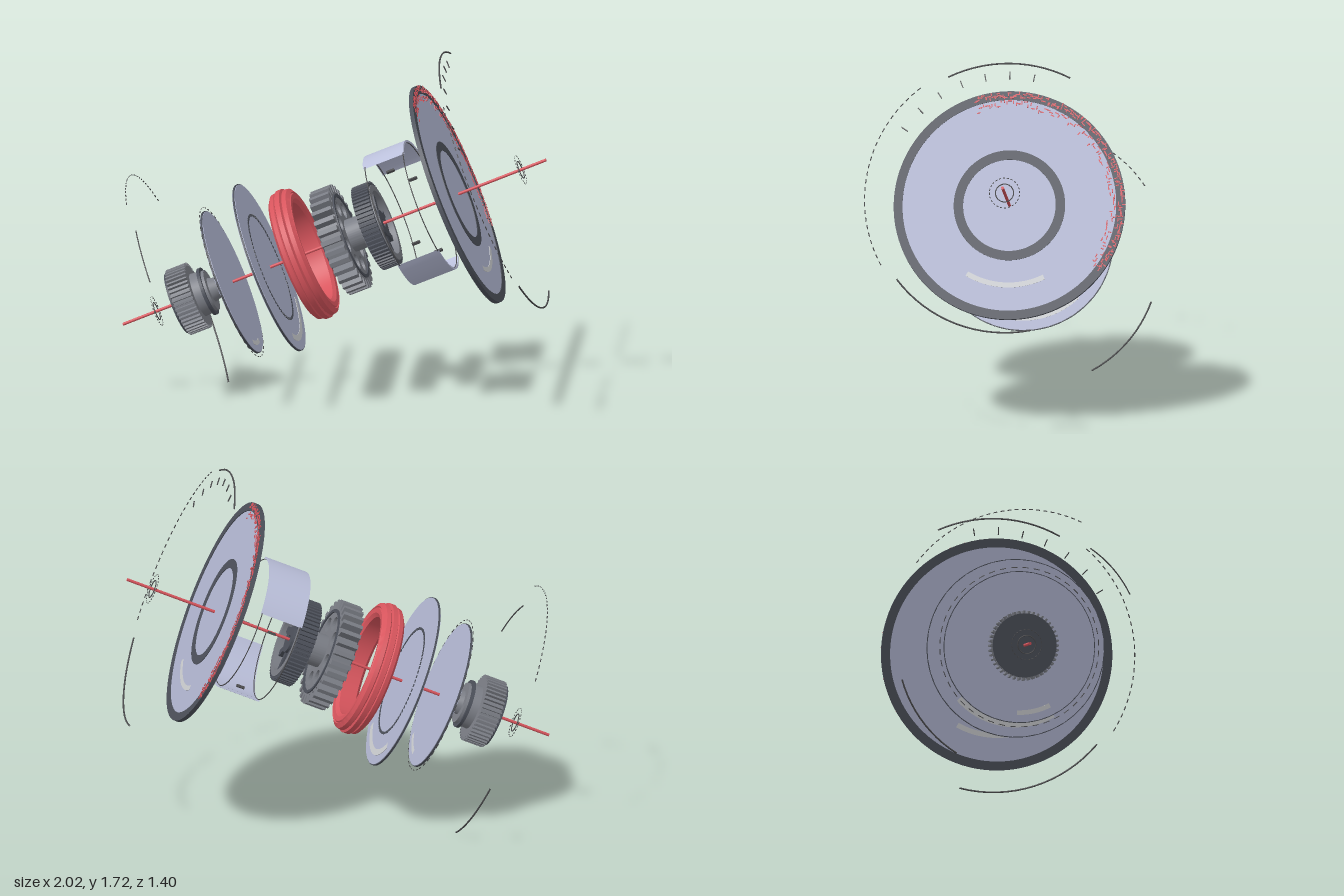
import * as THREE from 'three';
import { mergeGeometries, toCreasedNormals } from 'three/addons/utils/BufferGeometryUtils.js';

const mat = (name, color, side = THREE.FrontSide) => {
  const m = new THREE.MeshStandardMaterial({ color, side });
  m.name = name;
  return m;
};
const RAD = Math.PI / 180;

export function createModel() {
  const plate = mat('pale plate', 0xb2b7d2);
  const shellMat = mat('pale shell', 0xbcc1dc, THREE.DoubleSide);
  const dark = mat('dark metal', 0x4d515b);
  const grey = mat('gear grey', 0x7b7e86);
  const red = mat('red', 0xd8555d);
  const light = mat('slot grey', 0xcdcfd2);
  const line = mat('line grey', 0x4c4c4e);

  // Local frame: y runs along the tilted shaft, z is up, x points to the front
  const stack = new THREE.Group();
  stack.name = 'explodedStack';
  const axis = new THREE.Vector3(0.913, 0.393, 0.1).normalize();
  const up = new THREE.Vector3(0, 1, 0).addScaledVector(axis, -axis.y).normalize();
  const side = new THREE.Vector3().crossVectors(axis, up);
  stack.quaternion.setFromRotationMatrix(new THREE.Matrix4().makeBasis(side, axis, up));
  stack.position.set(0, 0.8, -0.05);

  // Place a geometry on the shaft at the point with the given world x
  const add = (name, geo, material, x) => {
    const m = new THREE.Mesh(geo, material);
    m.name = name;
    m.position.y = x / axis.x;
    stack.add(m);
    return m;
  };

  // Turned part from radius/height pairs
  const turned = (pts, seg = 72, from = 0, to = 360) => toCreasedNormals(
    new THREE.LatheGeometry(pts.map(p => new THREE.Vector2(...p)), seg, from * RAD, (to - from) * RAD), 0.6);

  // Flat ring or ring sector
  const ring = (r0, r1, h, from = 0, to = 360) => turned(
    [[r1, -h / 2], [r1, h / 2], [r0, h / 2], [r0, -h / 2], [r1, -h / 2]], to - from > 180 ? 96 : 24, from, to);

  // Wire arc, angles in degrees from up towards the front
  const arc = (r, tube, from = 0, to = 360) => {
    const g = new THREE.TorusGeometry(r, tube, 6, Math.max(2, Math.ceil((to - from) / 4)), (to - from) * RAD);
    return g.rotateZ((90 - to) * RAD).rotateX(Math.PI / 2);
  };
  const dashed = (r, tube, from, to, n) => {
    const step = (to - from) / n, list = [];
    for (let i = 0; i < n; i++) list.push(arc(r, tube, from + i * step, from + (i + 0.55) * step));
    return mergeGeometries(list);
  };

  // Small box at a polar position
  const peg = (r, deg, w, h, d, y = 0) =>
    new THREE.BoxGeometry(w, h, d).translate(0, y, r).rotateY(deg * RAD);

  // Toothed wheel with a bore and a circle of round holes
  const gear = (r, root, teeth, depth, bore, holes = 0, holeR = 0, holeAt = 0) => {
    const s = new THREE.Shape();
    for (let i = 0; i < teeth; i++) {
      [[0, root], [0.42, root], [0.52, r], [0.9, r]].forEach(([f, q], k) => {
        const a = (i + f) / teeth * Math.PI * 2;
        s[i + k === 0 ? 'moveTo' : 'lineTo'](q * Math.cos(a), q * Math.sin(a));
      });
    }
    const hole = (x, y, q) => s.holes.push(new THREE.Path().absarc(x, y, q, 0, Math.PI * 2, true));
    if (bore) hole(0, 0, bore);
    for (let i = 0; i < holes; i++) {
      const a = i / holes * Math.PI * 2;
      hole(holeAt * Math.cos(a), holeAt * Math.sin(a), holeR);
    }
    const g = new THREE.ExtrudeGeometry(s, { depth, bevelEnabled: false, curveSegments: 14 });
    return g.translate(0, 0, -depth / 2).rotateX(-Math.PI / 2);
  };
  const cyl = (r0, r1, h) => new THREE.CylinderGeometry(r1, r0, h, 40);

  // Shaft
  add('shaft', cyl(0.007, 0.007, 2 / axis.x), red, 0);

  // Knurled end knob with stepped neck
  add('knobRim', gear(0.165, 0.15, 44, 0.1, 0), grey, -0.69);
  add('knobCap', cyl(0.152, 0.152, 0.012), dark, -0.74);
  add('knobNeck', cyl(0.108, 0.1, 0.075), grey, -0.615);
  add('knobNeckCollar', ring(0.06, 0.118, 0.015), dark, -0.6);
  add('knobTip', cyl(0.06, 0.042, 0.06), grey, -0.555);

  // Two thin plates with curved slots
  add('smallPlate', cyl(0.357, 0.357, 0.014), plate, -0.487);
  add('smallPlateEdge', ring(0.355, 0.36, 0.009), dark, -0.487);
  add('smallPlateSlot', ring(0.3, 0.322, 0.018, 150, 180), light, -0.487);
  add('smallPlateDashes', dashed(0.378, 0.002, 0, 360, 44), line, -0.487);
  add('mediumPlate', cyl(0.42, 0.42, 0.014), plate, -0.31);
  add('mediumPlateEdge', ring(0.418, 0.423, 0.009), dark, -0.31);
  add('mediumPlateSlot', ring(0.345, 0.375, 0.018, 148, 226), light, -0.31);
  const marks = [];
  for (let i = 0; i < 72; i++) marks.push(peg(0.263, i * 5, 0.015, 0.02, 0.012));
  add('mediumPlateMarks', mergeGeometries(marks), dark, -0.31);

  // Grooved red ring
  add('redRing', turned([
    [0.245, -0.04], [0.262, -0.054], [0.285, -0.056], [0.29, -0.05], [0.295, -0.055], [0.315, -0.042],
    [0.319, -0.022], [0.313, -0.017], [0.326, -0.012], [0.326, 0.012], [0.313, 0.017], [0.319, 0.022],
    [0.315, 0.042], [0.295, 0.055], [0.29, 0.05], [0.285, 0.056], [0.262, 0.054], [0.245, 0.04], [0.245, -0.04],
  ], 80), red, -0.144);

  // Main gear with hub
  add('mainGear', gear(0.262, 0.222, 30, 0.1, 0.05, 8, 0.038, 0.145), grey, 0.03);
  add('mainGearRim', ring(0.196, 0.212, 0.112), dark, 0.03);
  add('mainGearHub', ring(0.02, 0.08, 0.2), grey, 0.065);

  // Dark open wheel
  add('darkWheel', gear(0.21, 0.202, 60, 0.085, 0.165), dark, 0.2);
  add('darkWheelHub', ring(0.02, 0.065, 0.075), dark, 0.2);
  const spokes = [];
  for (let i = 0; i < 8; i++) spokes.push(peg(0.115, i * 45, 0.03, 0.05, 0.12));
  add('darkWheelSpokes', mergeGeometries(spokes), dark, 0.2);
  add('darkWheelBand', ring(0.16, 0.19, 0.094), grey, 0.2);

  // Pair of curved shells joined by hoops
  [['upperShell', -62], ['lowerShell', 118]].forEach(([name, from]) =>
    add(name, ring(0.318, 0.328, 0.21, from, from + 80), shellMat, 0.36));
  [0.27, 0.45].forEach(x => add('shellHoop', arc(0.318, 0.0025), line, x));
  const pins = [];
  for (const d of [30, 105, 210, 285]) pins.push(peg(0.3, d, 0.012, 0.04, 0.012, 0.02));
  add('shellPins', mergeGeometries(pins), line, 0.36);

  // Large plate with dark rim, inner ring and slot
  const big = 0.58;
  add('largePlate', cyl(0.53, 0.53, 0.012), plate, big);
  add('largePlateRim', ring(0.508, 0.55, 0.02), dark, big);
  add('largePlateInnerRing', ring(0.22, 0.265, 0.018), dark, big);
  add('largePlateSlot', ring(0.372, 0.396, 0.017, 150, 207), light, big);

  // Scattered red ticks along the upper rim
  let seed = 7;
  const rnd = () => (seed = (seed * 16807) % 2147483647) / 2147483647;
  const ticks = [];
  for (let i = 0; i < 260; i++) {
    const onRim = i % 3 > 0;
    const r = onRim ? 0.518 + rnd() * 0.026 : 0.47 + rnd() * 0.038;
    const across = rnd() > 0.5;
    ticks.push(peg(r, 20 - 145 * (i + rnd()) / 260, across ? 0.018 : 0.005, 0.004,
      across ? 0.005 : 0.016, onRim ? 0.011 : 0.007));
  }
  add('rimTicks', mergeGeometries(ticks), red, big);

  // Rotation marks near both shaft ends
  [-0.84, 0.88].forEach(x => {
    add('shaftMark', arc(0.043, 0.0025), line, x);
    add('shaftMarkDots', dashed(0.072, 0.002, 0, 360, 24), line, x);
  });

  // Guide arcs around the large plate
  const right = 0.754, left = -0.73;
  add('guideArcTop', arc(0.65, 0.004, -26, 27), line, right);
  add('guideArcBottom', arc(0.648, 0.004, 128, 192), line, right);
  add('guideDashesFront', dashed(0.675, 0.0025, 39, 121, 26), line, right);
  const scale = [];
  for (let i = 0; i < 7; i++) scale.push(peg(0.592, -11 + i * 11.3, 0.005, 0.005, 0.036));
  add('guideScale', mergeGeometries(scale), line, right);

  // Guide arcs around the knob
  add('guideDashesKnob', dashed(0.645, 0.0025, -55, 24, 26), line, left);
  add('guideArcKnobFront', arc(0.558, 0.003, 32, 62), line, left);
  add('guideArcKnobBack', arc(0.605, 0.004, 210, 252), line, left);

  const model = new THREE.Group();
  model.name = 'explodedGearAssembly';
  model.add(stack);
  return model;
}
